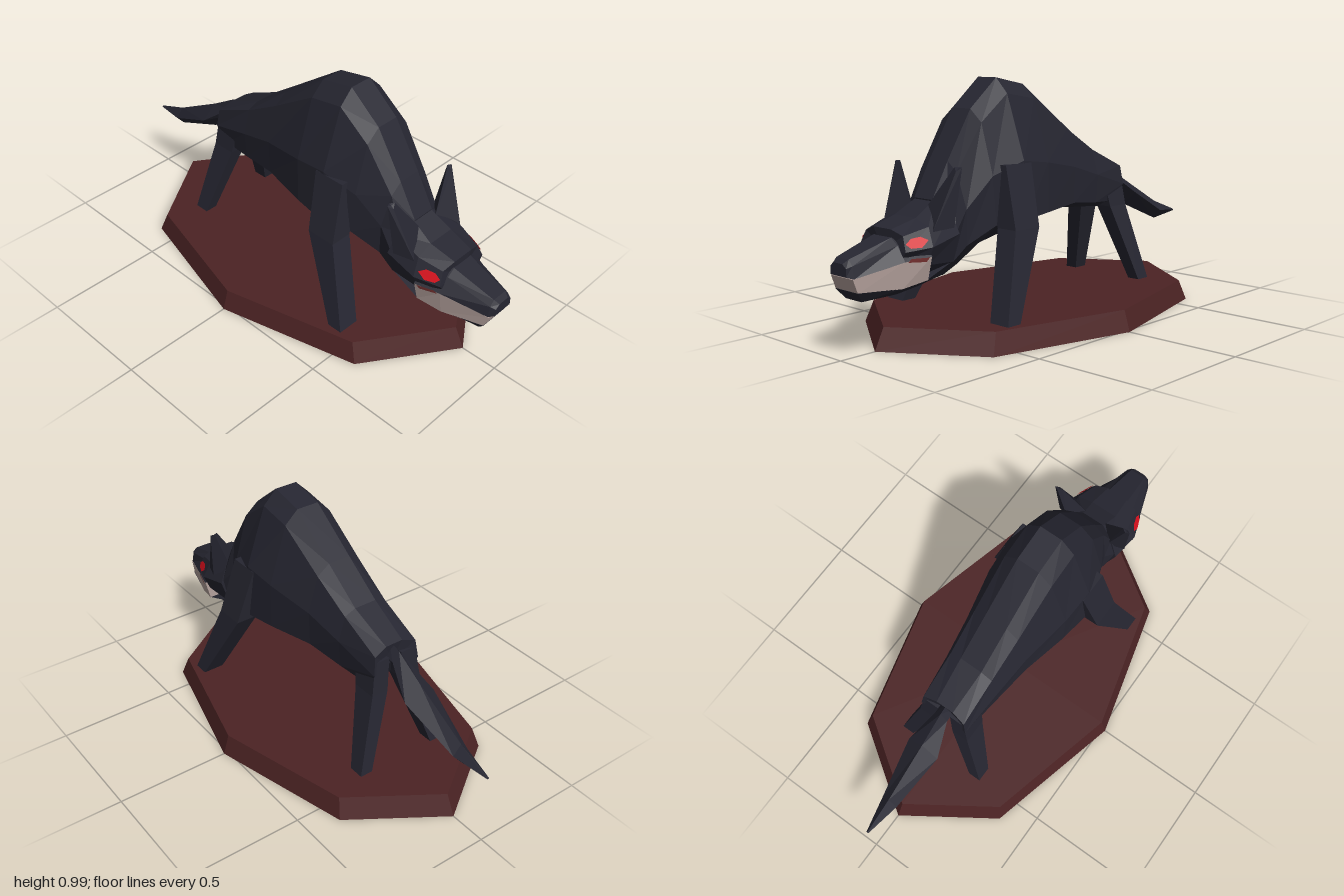
import * as THREE from 'three';

const mat = (name, color, side = THREE.FrontSide) => {
  const m = new THREE.MeshStandardMaterial({ color, flatShading: true, side });
  m.name = name;
  return m;
};

// Mirror a half section (top to bottom, +x side) into a closed ring
const whole = (half) => [...half, ...half.slice().reverse().map(([x, y, z]) => [-x, y, z])];
const flip = (ring) => ring.map(([x, y, z]) => [-x, y, z]);
const at = (z, pts) => pts.map(([x, y]) => [x, y, z]);

// Closed faceted skin through a list of rings, capped at both ends
function loft(rings) {
  const tris = [];
  const n = rings[0].length;
  for (let r = 0; r < rings.length - 1; r++) {
    for (let i = 0; i < n; i++) {
      const j = (i + 1) % n;
      const [a, b, c, d] = [rings[r][i], rings[r][j], rings[r + 1][j], rings[r + 1][i]];
      tris.push([a, b, c], [a, c, d]);
    }
  }
  const cap = (ring, reverse) => {
    const mid = [0, 1, 2].map((k) => ring.reduce((s, p) => s + p[k], 0) / n);
    ring.forEach((p, i) => {
      const q = ring[(i + 1) % n];
      tris.push(reverse ? [mid, q, p] : [mid, p, q]);
    });
  };
  cap(rings[0], true);
  cap(rings[rings.length - 1], false);
  // Turn the skin outward if its signed volume is negative
  const volume = tris.reduce((s, [a, b, c]) => s
    + a[0] * (b[1] * c[2] - b[2] * c[1])
    + a[1] * (b[2] * c[0] - b[0] * c[2])
    + a[2] * (b[0] * c[1] - b[1] * c[0]), 0);
  if (volume < 0) tris.forEach((t) => t.reverse());
  const g = new THREE.BufferGeometry();
  g.setAttribute('position', new THREE.Float32BufferAttribute(tris.flat(2), 3));
  g.computeVertexNormals();
  return g;
}

// Rectangular horizontal section for limbs
const box = (y, x0, x1, z0, z1) => [[x0, y, z0], [x1, y, z0], [x1, y, z1], [x0, y, z1]];

// Thin plate lying on a four-cornered patch, nudged outward
function plate(corners, uvs, lift) {
  const [a, b, c, d] = corners.map((p) => new THREE.Vector3(...p));
  const normal = c.clone().sub(a).cross(d.clone().sub(b)).normalize();
  if (normal.x * a.x < 0) normal.negate();
  const pts = uvs.map(([u, v]) => a.clone().lerp(b, u).lerp(d.clone().lerp(c, u), v).addScaledVector(normal, lift));
  const g = new THREE.BufferGeometry().setFromPoints(pts);
  const index = [];
  for (let i = 1; i < pts.length - 1; i++) index.push(0, i, i + 1);
  g.setIndex(index);
  g.computeVertexNormals();
  return g;
}

export function createModel() {
  const fur = mat('dark fur', 0x262631);
  const wood = mat('red brown base', 0x4c2324);
  const ivory = mat('teeth ivory', 0xb5a29d);
  const red = mat('eye red', 0xd80f1c, THREE.DoubleSide);
  const gum = mat('gum red', 0x7c3433, THREE.DoubleSide);

  const model = new THREE.Group();
  const add = (name, geometry, material) => {
    const m = new THREE.Mesh(geometry, material);
    m.name = name;
    model.add(m);
  };

  // Stand: stretched, bevelled octagon
  const stand = new THREE.CylinderGeometry(0.95, 1, 0.085, 8);
  stand.scale(0.52, 1, 0.845).translate(0, 0.0425, 0);
  add('base', stand, wood);

  // Torso and neck, rump to skull
  add('body', loft([
    [[0.04, 0.6, -0.45], [0.1, 0.58, -0.46], [0.11, 0.5, -0.47], [0.1, 0.43, -0.42], [0.05, 0.405, -0.38]],
    at(-0.27, [[0.05, 0.685], [0.1, 0.665], [0.13, 0.56], [0.12, 0.44], [0.05, 0.415]]),
    at(-0.1, [[0.05, 0.805], [0.105, 0.765], [0.15, 0.61], [0.145, 0.46], [0.05, 0.43]]),
    at(0.11, [[0.05, 0.955], [0.11, 0.9], [0.19, 0.65], [0.19, 0.45], [0.06, 0.41]]),
    at(0.26, [[0.05, 0.985], [0.11, 0.925], [0.2, 0.67], [0.21, 0.44], [0.07, 0.4]]),
    [[0.05, 0.87, 0.4], [0.11, 0.82, 0.4], [0.17, 0.62, 0.4], [0.17, 0.43, 0.38], [0.07, 0.35, 0.38]],
    [[0.05, 0.68, 0.52], [0.1, 0.64, 0.52], [0.13, 0.5, 0.5], [0.12, 0.36, 0.49], [0.06, 0.28, 0.49]],
    [[0.05, 0.54, 0.6], [0.11, 0.5, 0.58], [0.145, 0.42, 0.57], [0.12, 0.31, 0.56], [0.06, 0.25, 0.56]],
  ].map(whole)), fur);

  // Skull with a brow step at the front
  const cheek = [[0.06, 0.485, 0.69], [0.13, 0.46, 0.69], [0.165, 0.39, 0.7], [0.135, 0.32, 0.7], [0.06, 0.25, 0.7]];
  const brow = [[0.05, 0.455, 0.8], [0.105, 0.435, 0.79], [0.13, 0.38, 0.8], [0.1, 0.34, 0.8], [0.05, 0.27, 0.8]];
  add('head', loft([
    [[0.05, 0.54, 0.59], [0.12, 0.5, 0.57], [0.155, 0.42, 0.56], [0.12, 0.31, 0.56], [0.06, 0.25, 0.56]],
    cheek, brow,
  ].map(whole)), fur);

  // Muzzle in three layers: snout, teeth, jaw
  add('snout', loft([
    at(0.7, [[0.06, 0.44], [0.1, 0.41], [0.16, 0.355]]),
    at(0.8, [[0.05, 0.425], [0.085, 0.4], [0.127, 0.345]]),
    at(0.98, [[0.035, 0.37], [0.055, 0.348], [0.064, 0.302]]),
    at(1, [[0.025, 0.355], [0.045, 0.34], [0.045, 0.31]]),
  ].map(whole)), fur);
  add('teeth', loft([
    at(0.7, [[0.158, 0.355], [0.135, 0.265]]),
    at(0.8, [[0.126, 0.345], [0.112, 0.245]]),
    [[0.063, 0.302, 0.985], [0.064, 0.248, 0.965]],
  ].map(whole)), ivory);
  add('lowerJaw', loft([
    at(0.57, [[0.12, 0.31], [0.06, 0.25]]),
    at(0.7, [[0.135, 0.268], [0.08, 0.235]]),
    at(0.8, [[0.112, 0.246], [0.075, 0.22]]),
    [[0.066, 0.25, 0.967], [0.045, 0.21, 0.935]],
  ].map(whole)), fur);

  // Tail: diamond sections tapering to a point
  const tailRing = (z, top, bottom, w) => {
    const mid = (top + bottom) / 2;
    return at(z, [[0, top], [w, mid], [0, bottom], [-w, mid]]);
  };
  add('tail', loft([
    tailRing(-0.42, 0.6, 0.5, 0.03),
    tailRing(-0.48, 0.58, 0.5, 0.03),
    tailRing(-0.61, 0.5, 0.385, 0.072),
    tailRing(-0.85, 0.37, 0.288, 0.036),
    tailRing(-1, 0.315, 0.305, 0.005),
  ]), fur);

  // Paired parts, built on the left and mirrored
  const frontLeg = [
    box(0.66, 0.1, 0.2, 0.22, 0.36),
    box(0.42, 0.175, 0.27, 0.25, 0.38),
    box(0.08, 0.252, 0.345, 0.435, 0.5),
  ];
  const hindLeg = [
    box(0.55, 0.03, 0.1, -0.46, -0.34),
    box(0.41, 0.045, 0.12, -0.475, -0.37),
    box(0.08, 0.155, 0.21, -0.527, -0.462),
  ];
  const ear = [
    [[0.05, 0.525, 0.62], [0.14, 0.44, 0.68], [0.17, 0.45, 0.6], [0.1, 0.48, 0.56]],
    [[0.152, 0.67, 0.58], [0.17, 0.655, 0.59], [0.187, 0.67, 0.575], [0.17, 0.67, 0.567]],
  ];
  const eyePatch = [cheek[1], brow[1], brow[2], cheek[2]];
  const eyeShape = [[0.12, 0.62], [0.4, 0.34], [0.75, 0.3], [0.97, 0.55], [0.8, 0.85], [0.4, 0.92]];
  const gumPatch = [[0.16, 0.362, 0.7], [0.128, 0.355, 0.8], [0.125, 0.335, 0.8], [0.155, 0.34, 0.7]];
  const gumShape = [[0.1, 0.3], [0.8, 0], [0.9, 0.6], [0.2, 1]];
  for (const [side, m] of [['left', (r) => r], ['right', flip]]) {
    add(side + 'FrontLeg', loft(frontLeg.map(m)), fur);
    add(side + 'HindLeg', loft(hindLeg.map(m)), fur);
    add(side + 'Ear', loft(ear.map(m)), fur);
    add(side + 'Eye', plate(m(eyePatch), eyeShape, 0.005), red);
    add(side + 'Gum', plate(m(gumPatch), gumShape, 0.004), gum);
  }
  return model;
}
